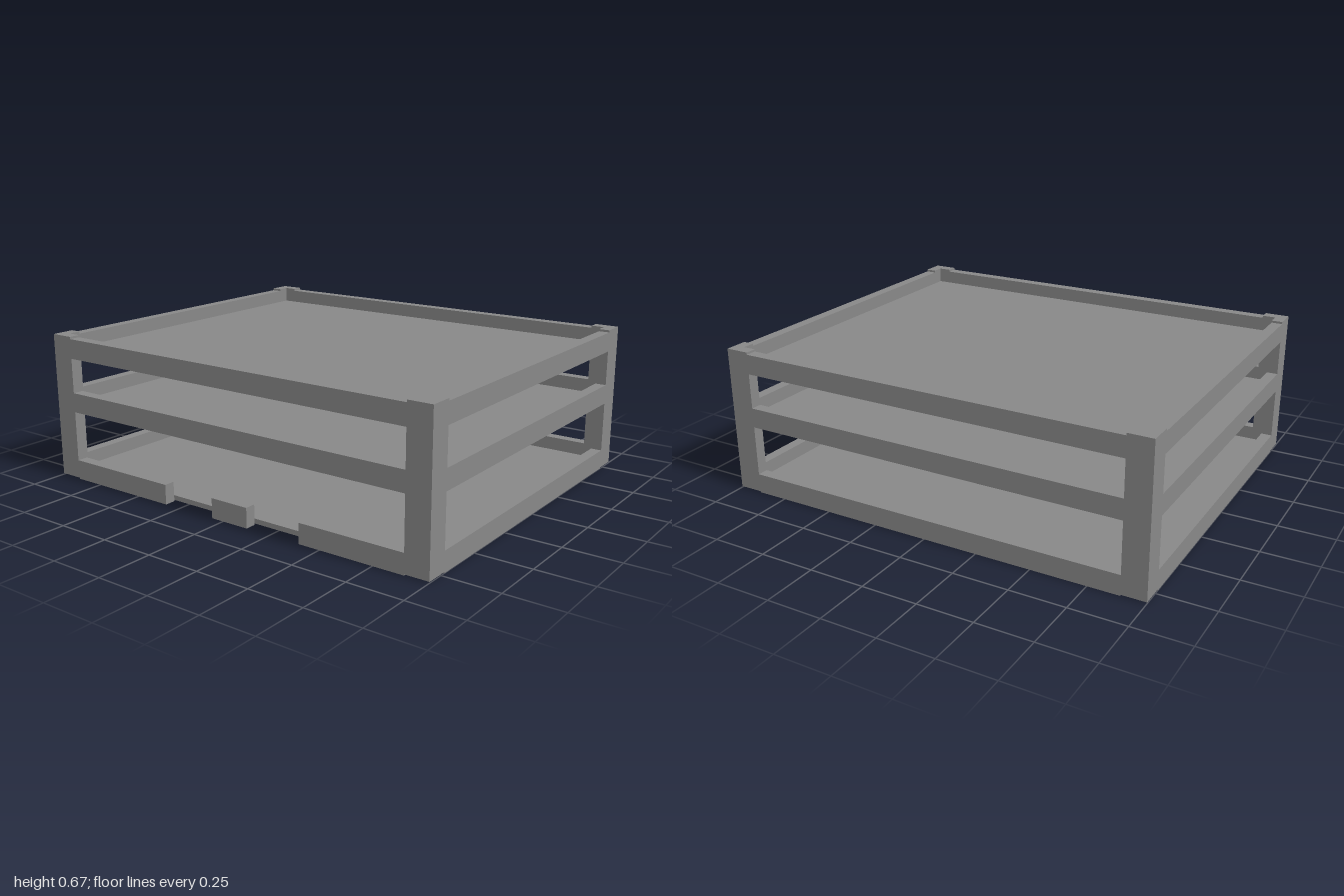
import * as THREE from 'three';

const X = 0.83, Z = 1, T = 0.05;          // outer half sizes, wall thickness
const POST_X = 0.105, POST_Z = 0.11;      // leg widths of the corner angles

export function createModel() {
  const group = new THREE.Group();
  group.name = 'stackingTray';
  const grey = new THREE.MeshStandardMaterial({ color: 0x888888 });
  grey.name = 'grey';

  const add = (name, geometry) => {
    const mesh = new THREE.Mesh(geometry, grey);
    mesh.name = name;
    group.add(mesh);
    return mesh;
  };
  // box given by its limits on each axis
  const box = (name, x0, x1, y0, y1, z0, z1) =>
    add(name, new THREE.BoxGeometry(x1 - x0, y1 - y0, z1 - z0))
      .position.set((x0 + x1) / 2, (y0 + y1) / 2, (z0 + z1) / 2);

  // L-shaped corner posts, a little taller than the rails
  for (const sx of [-1, 1]) for (const sz of [-1, 1]) {
    const outline = [
      [X, Z], [X - POST_X, Z], [X - POST_X, Z - T],
      [X - T, Z - T], [X - T, Z - POST_Z], [X, Z - POST_Z],
    ].map(([x, z]) => new THREE.Vector2(x * sx, -z * sz));
    const geo = new THREE.ExtrudeGeometry(new THREE.Shape(outline), { depth: 0.665, bevelEnabled: false });
    geo.rotateX(-Math.PI / 2);
    add('cornerPost', geo).position.y = 0.005;
  }

  // three tiers: a panel framed by rails
  const tiers = [
    { name: 'bottom', y0: 0, y1: 0.09 },
    { name: 'middle', y0: 0.32, y1: 0.41 },
    { name: 'top', y0: 0.57, y1: 0.66 },
  ];
  const rx = X - POST_X, rz = Z - POST_Z;
  for (const { name, y0, y1 } of tiers) {
    box(name + 'Panel', -X + T, X - T, y0 + 0.006, y0 + 0.028, -Z + T, Z - T);
    box(name + 'FrontRail', -rx, rx, y0, y1, Z - T, Z);
    box(name + 'BackRail', -rx, rx, y0, y1, -Z, -Z + T);
    box(name + 'LeftRail', X - T, X, y0, y1, -rz, rz);
    // the bottom rail on this side is broken by two gaps
    const spans = name === 'bottom' ? [[-rz, -0.33], [-0.06, 0.13], [0.4, rz]] : [[-rz, rz]];
    for (const [a, b] of spans) box(name + 'RightRail', -X, -X + T, y0, y1, a, b);
  }
  return group;
}
